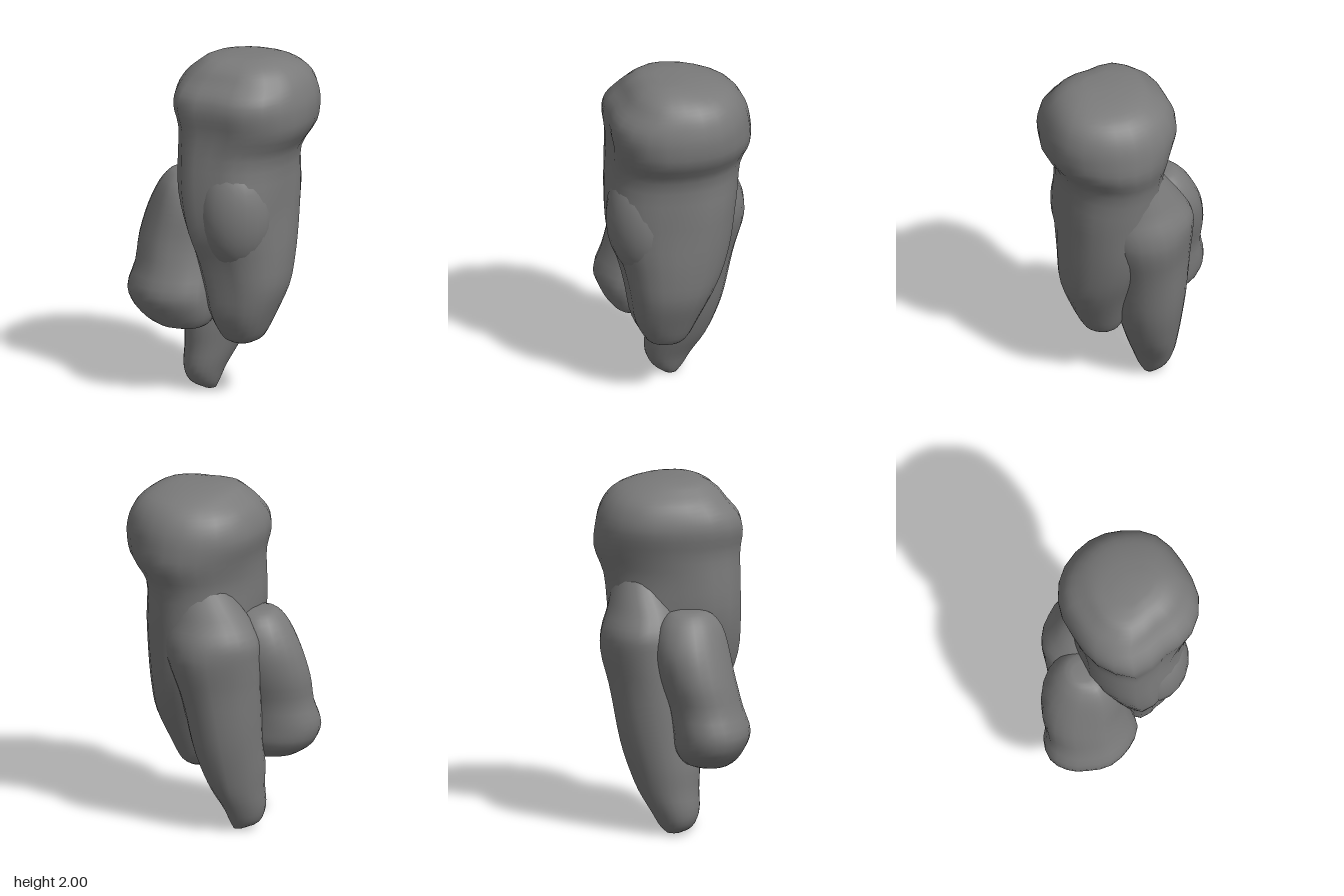
import * as THREE from 'three';

const SIDES = 24, STEPS = 3;

// Blend of a few waves: a repeatable, gentle unevenness for the rock surface
function ripple(x, y, z, seed) {
  return Math.sin(7 * x + 5 * y + seed) * Math.cos(6 * z - 4 * y + 2 * seed)
    + 0.6 * Math.sin(11 * z + 9 * y - 3 * seed);
}

// Closed boulder from horizontal sections [y, xMin, xMax, zMin, zMax].
// footprint lists twelve relative radii, every 30 degrees from +x towards +z.
function boulder(name, sections, footprint, seed, material) {
  const curves = [0, 2].map(k => new THREE.CatmullRomCurve3(
    sections.map(s => new THREE.Vector3(s[1 + k], s[0], s[2 + k])), false, 'centripetal'));
  const rows = (sections.length - 1) * STEPS;
  const pos = [], index = [], ends = [];
  for (let r = 0; r <= rows; r++) {
    const xs = curves[0].getPoint(r / rows), zs = curves[1].getPoint(r / rows);
    const y = (xs.y + zs.y) / 2;
    const cx = (xs.x + xs.z) / 2, hx = (xs.z - xs.x) / 2;
    const cz = (zs.x + zs.z) / 2, hz = (zs.z - zs.x) / 2;
    if (r === 0 || r === rows) ends.push([cx, y, cz]);
    for (let i = 0; i < SIDES; i++) {
      const a = i / SIDES * Math.PI * 2, c = Math.cos(a), s = Math.sin(a);
      const t = i / SIDES * 12, f = Math.floor(t);
      const k = THREE.MathUtils.lerp(footprint[f], footprint[(f + 1) % 12], t - f);
      const x = cx + hx * k * c, z = cz + hz * k * s;
      const n = 0.009 * ripple(x, y, z, seed);
      pos.push(x + n * c, y, z + n * s);
    }
  }
  for (let r = 0; r < rows; r++) for (let i = 0; i < SIDES; i++) {
    const j = (i + 1) % SIDES, a = r * SIDES + i, b = r * SIDES + j;
    index.push(a, a + SIDES, b, b, a + SIDES, b + SIDES);
  }
  // End caps
  const base = pos.length / 3;
  ends.forEach(e => pos.push(...e));
  for (let i = 0; i < SIDES; i++) {
    const j = (i + 1) % SIDES, t = rows * SIDES;
    index.push(base, i, j, base + 1, t + j, t + i);
  }
  const geo = new THREE.BufferGeometry();
  geo.setAttribute('position', new THREE.Float32BufferAttribute(pos, 3));
  geo.setIndex(index);
  geo.computeVertexNormals();
  const mesh = new THREE.Mesh(geo, material);
  mesh.name = name;
  return mesh;
}

export function createModel() {
  const group = new THREE.Group();
  group.name = 'rockFormation';
  const stone = new THREE.MeshStandardMaterial({ color: 0x7a7a7a });

  // Tall column with a wider head, narrowing to a blunt foot
  group.add(boulder('mainColumn', [
    [0.33, 0.11, 0.20, 0.01, 0.14],
    [0.36, 0.05, 0.25, -0.04, 0.18],
    [0.48, 0.00, 0.32, -0.11, 0.24],
    [0.65, -0.04, 0.38, -0.19, 0.28],
    [0.82, -0.08, 0.39, -0.26, 0.33],
    [1.00, -0.13, 0.40, -0.31, 0.38],
    [1.22, -0.18, 0.41, -0.33, 0.39],
    [1.45, -0.19, 0.41, -0.35, 0.39],
    [1.60, -0.21, 0.50, -0.41, 0.39],
    [1.72, -0.24, 0.52, -0.41, 0.40],
    [1.80, -0.23, 0.51, -0.39, 0.38],
    [1.88, -0.19, 0.48, -0.34, 0.31],
    [1.94, -0.12, 0.43, -0.27, 0.26],
    [1.98, -0.06, 0.36, -0.16, 0.20],
    [2.00, 0.05, 0.27, -0.03, 0.12],
  ], [1.01, 1.05, 1.02, 0.97, 1.16, 1.10, 0.99, 1.0, 1.02, 1.02, 1.0, 1.03], 2.1, stone));

  // Squat boulder leaning on the column's right
  group.add(boulder('sideBoulder', [
    [0.40, -0.30, -0.08, 0.14, 0.29],
    [0.42, -0.38, -0.03, 0.07, 0.34],
    [0.50, -0.49, 0.01, 0.01, 0.39],
    [0.60, -0.52, 0.02, -0.01, 0.42],
    [0.74, -0.48, 0.01, -0.04, 0.38],
    [0.90, -0.48, 0.00, -0.09, 0.35],
    [1.06, -0.45, 0.00, -0.11, 0.32],
    [1.20, -0.38, -0.05, -0.08, 0.27],
    [1.27, -0.32, -0.10, -0.03, 0.21],
    [1.29, -0.28, -0.16, 0.03, 0.15],
  ], [1.0, 1.05, 1.0, 1.0, 0.91, 0.95, 1.02, 1.04, 1.02, 1.0, 1.05, 1.05], 0.6, stone));

  // Pointed rock at the back, swelling to a broad shoulder under the head
  group.add(boulder('backSpike', [
    [0.00, -0.15, -0.09, -0.03, 0.04],
    [0.04, -0.23, -0.07, -0.07, 0.10],
    [0.12, -0.26, -0.04, -0.12, 0.14],
    [0.25, -0.27, 0.02, -0.20, 0.15],
    [0.40, -0.29, 0.07, -0.25, 0.16],
    [0.60, -0.30, 0.12, -0.30, 0.12],
    [0.85, -0.30, 0.17, -0.36, 0.08],
    [1.04, -0.31, 0.22, -0.40, 0.08],
    [1.15, -0.31, 0.24, -0.39, 0.08],
    [1.26, -0.25, 0.24, -0.35, 0.06],
    [1.36, -0.18, 0.22, -0.33, 0.00],
    [1.48, -0.10, 0.17, -0.31, -0.05],
  ], [1.0, 1.0, 1.0, 1.0, 1.0, 1.02, 1.0, 0.94, 0.93, 1.02, 1.03, 1.0], 4.2, stone));

  // Broad swelling on the front left of the column
  const swelling = new THREE.Mesh(new THREE.SphereGeometry(1, 20, 14), stone);
  swelling.name = 'frontSwelling';
  swelling.position.set(0.19, 1.12, 0.22);
  swelling.scale.set(0.21, 0.33, 0.175);
  swelling.rotation.set(0.05, 0.6, 0);
  group.add(swelling);
  return group;
}
